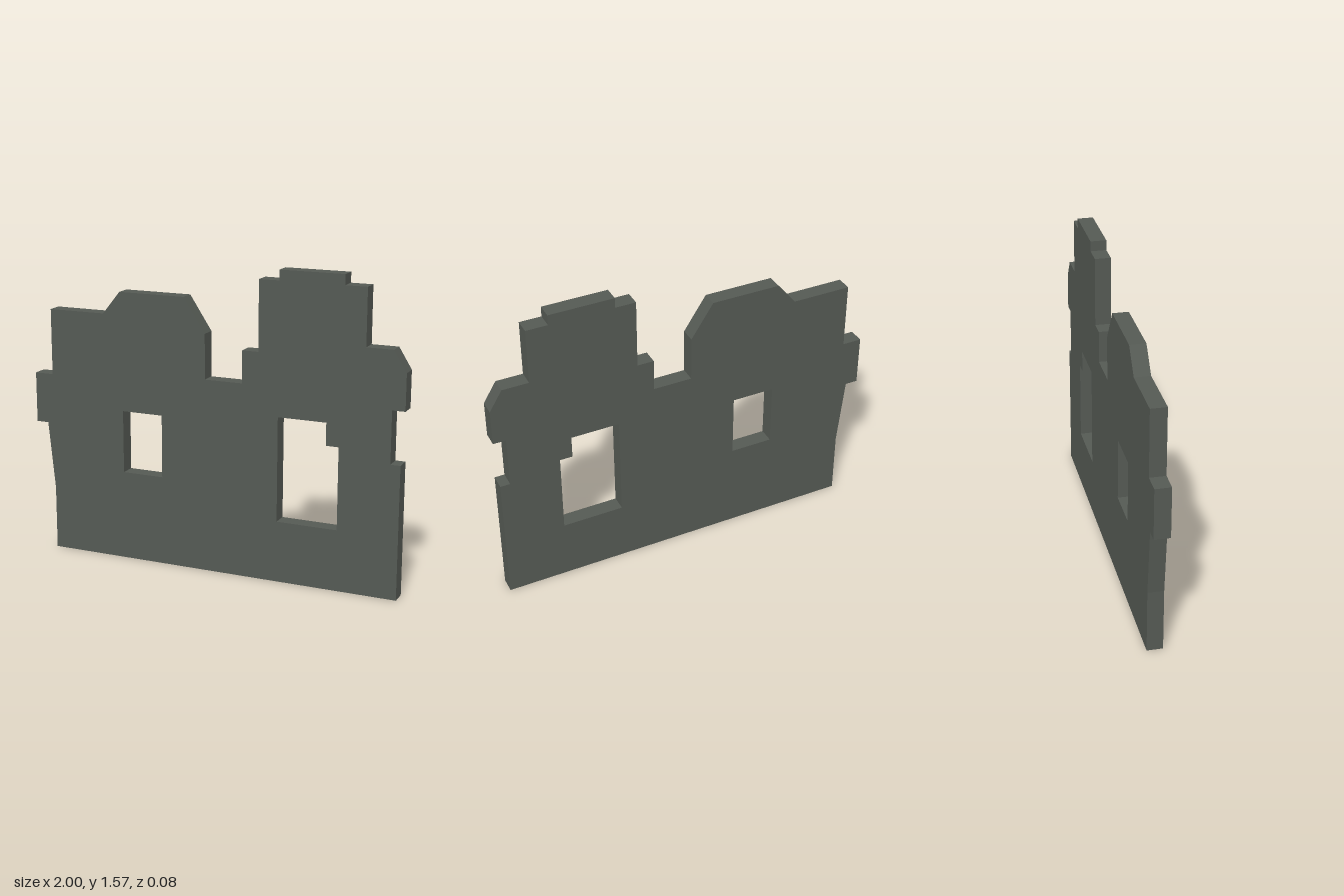
import * as THREE from 'three';

const DEPTH = 0.08;

// Broken wall silhouette, anticlockwise from the lower right-hand corner
const OUTLINE = [
  [-0.9, 0], [0.985, 0], [0.985, 0.68], [0.935, 0.68], [0.935, 0.945], [1, 0.945],
  [1, 1.13], [0.935, 1.235], [0.8, 1.235], [0.8, 1.52], [0.69, 1.52], [0.69, 1.572],
  [0.36, 1.572], [0.36, 1.52], [0.255, 1.52], [0.255, 1.165], [0.17, 1.165], [0.17, 1],
  [-0.03, 1], [-0.03, 1.23], [-0.145, 1.405], [-0.5, 1.405], [-0.595, 1.288],
  [-0.9, 1.288], [-0.9, 0.945], [-1, 0.945], [-1, 0.683], [-0.935, 0.683], [-0.9, 0.33],
];
const SMALL_WINDOW = [[-0.49, 0.465], [-0.49, 0.79], [-0.27, 0.79], [-0.27, 0.465]];
const LARGE_WINDOW = [
  [0.36, 0.315], [0.36, 0.85], [0.61, 0.85], [0.61, 0.735], [0.675, 0.735], [0.675, 0.315],
];

const toPoints = (list) => list.map(([x, y]) => new THREE.Vector2(x, y));

// Leaves the underside open by dropping triangles that lie on the ground
function openUnderside(geometry) {
  const flat = geometry.index ? geometry.toNonIndexed() : geometry;
  const source = flat.attributes.position;
  const kept = [];
  for (let i = 0; i < source.count; i += 3) {
    const corners = [i, i + 1, i + 2];
    if (corners.every((c) => Math.abs(source.getY(c)) < 1e-5)) continue;
    for (const c of corners) kept.push(source.getX(c), source.getY(c), source.getZ(c));
  }
  const result = new THREE.BufferGeometry();
  result.setAttribute('position', new THREE.Float32BufferAttribute(kept, 3));
  result.computeVertexNormals();
  return result;
}

export function createModel() {
  const group = new THREE.Group();
  group.name = 'ruinedWall';

  const stone = new THREE.MeshStandardMaterial({ color: 0x555a54, side: THREE.DoubleSide });
  stone.name = 'dark grey stone';

  // Wall slab with two window openings
  const shape = new THREE.Shape(toPoints(OUTLINE));
  for (const opening of [SMALL_WINDOW, LARGE_WINDOW]) {
    shape.holes.push(new THREE.Path(toPoints(opening)));
  }
  const slab = new THREE.ExtrudeGeometry(shape, { depth: DEPTH, bevelEnabled: false });
  slab.translate(0, 0, -DEPTH / 2);

  const wall = new THREE.Mesh(openUnderside(slab), stone);
  wall.name = 'wall';
  group.add(wall);
  return group;
}
